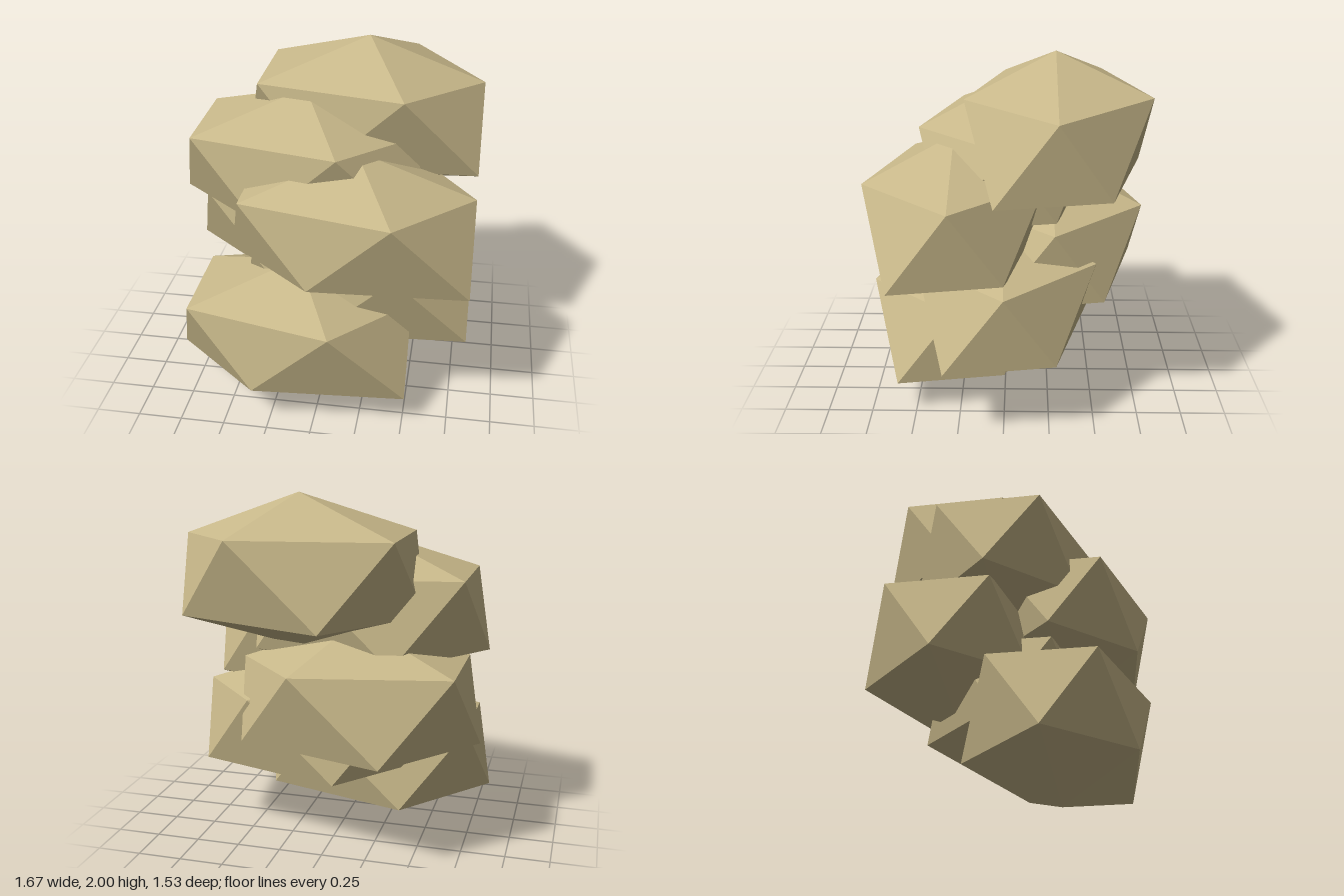
import * as THREE from 'three';

// One faceted boulder: two apexes and two staggered rings of five corners.
function boulderGeometry() {
  const top = [0, 0.85, 0];
  const bottom = [0, 0, 0];
  const upper = [[0.65, 0.61, 0], [0.24, 0.64, 0.48], [-0.59, 0.63, 0.28], [-0.59, 0.64, -0.29], [0.24, 0.65, -0.5]];
  const lower = [[0.65, 0.18, 0.32], [-0.2, 0.22, 0.43], [-0.7, 0.21, 0], [-0.24, 0.19, -0.49], [0.58, 0.2, -0.28]];
  const corners = [];
  for (let i = 0; i < 5; i++) {
    const j = (i + 1) % 5;
    corners.push(top, upper[j], upper[i]);
    corners.push(upper[i], upper[j], lower[i]);
    corners.push(upper[j], lower[j], lower[i]);
    corners.push(bottom, lower[i], lower[j]);
  }
  const geometry = new THREE.BufferGeometry();
  geometry.setAttribute('position', new THREE.Float32BufferAttribute(corners.flat(), 3));
  geometry.computeVertexNormals(); // unshared corners give flat facets
  return geometry;
}

export function createModel() {
  const group = new THREE.Group();
  group.name = 'boulderStack';
  const sandstone = new THREE.MeshStandardMaterial({ color: 0xc8b88a });
  sandstone.name = 'sandstone';
  const geometry = boulderGeometry();

  // Six boulders, alternating sideways and stepping through three depths
  const depths = [0.28, 0, -0.27];
  for (let i = 0; i < 6; i++) {
    const boulder = new THREE.Mesh(geometry, sandstone);
    boulder.name = `boulder${i + 1}`;
    boulder.position.set(i % 2 ? 0.18 : -0.14, i * 0.23, depths[i % 3]);
    group.add(boulder);
  }
  return group;
}
